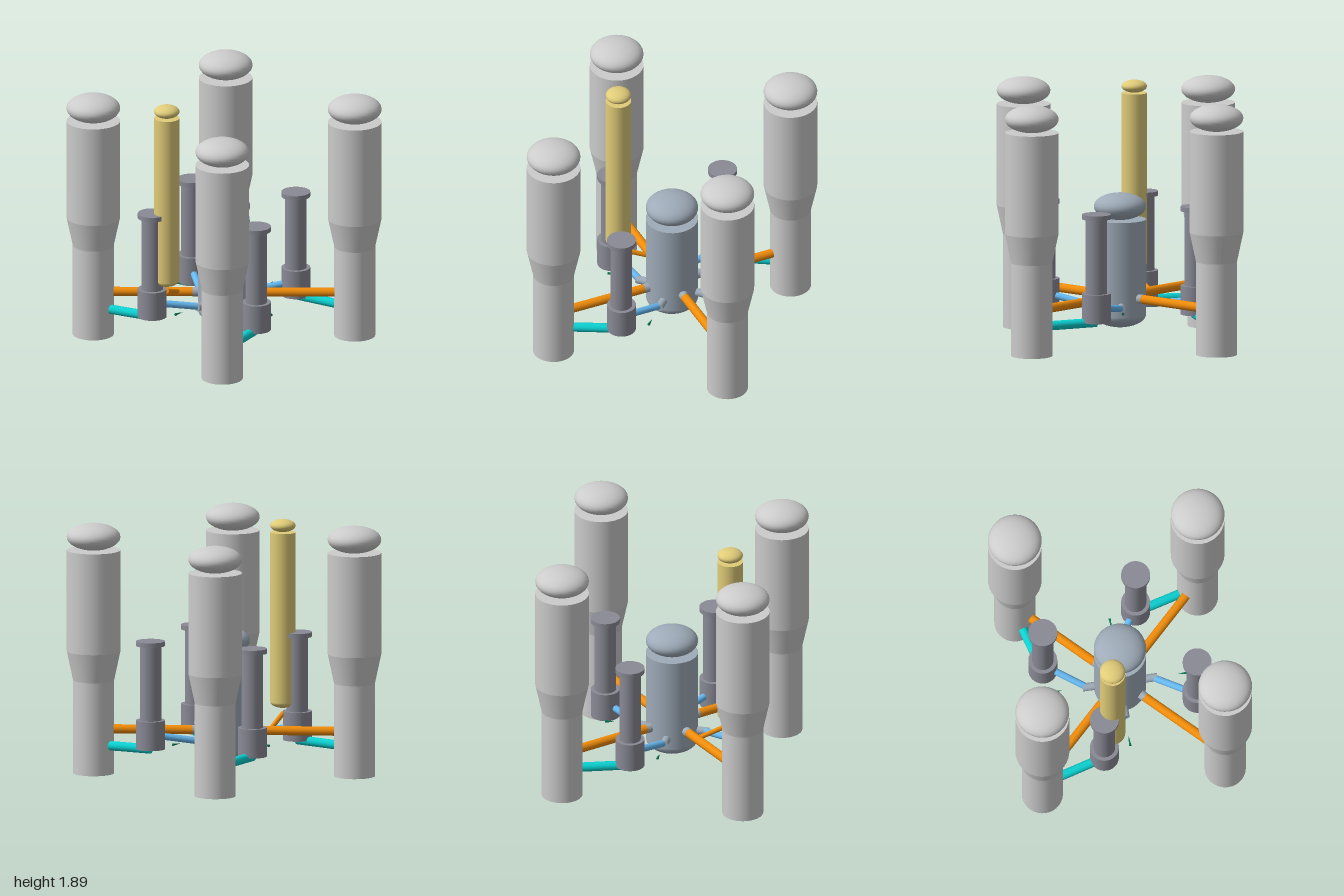
import * as THREE from 'three';

const material = (color) => new THREE.MeshStandardMaterial({ color });
const GREY = material(0xcccccc);
const STEEL = material(0x9eabb8);
const PUMP = material(0x8a8a96);
const HOT = material(0xf08c0a);
const COLD = material(0x66b8f0);
const CROSS = material(0x0cd0d0);
const YELLOW = material(0xe0cc78);
const GREEN = material(0x0a7a55);

function add(parent, name, geometry, mat, x = 0, y = 0, z = 0) {
  const mesh = new THREE.Mesh(geometry, mat);
  mesh.name = name;
  mesh.position.set(x, y, z);
  parent.add(mesh);
  return mesh;
}

// Upright cylinder or cone frustum between two heights
function column(parent, name, mat, rTop, rBottom, y0, y1, x = 0, z = 0) {
  const geometry = new THREE.CylinderGeometry(rTop, rBottom, y1 - y0, 32);
  return add(parent, name, geometry, mat, x, (y0 + y1) / 2, z);
}

// Flattened sphere used for the heads of the vessels
function head(parent, name, mat, r, ry, y, x = 0, z = 0) {
  const geometry = new THREE.SphereGeometry(r, 32, 20).scale(1, ry / r, 1);
  return add(parent, name, geometry, mat, x, y, z);
}

// Straight pipe between two points; a smaller end radius makes a cone
function pipe(parent, name, mat, r, from, to, rEnd = r) {
  const a = new THREE.Vector3(...from);
  const b = new THREE.Vector3(...to);
  const dir = b.clone().sub(a);
  const mesh = add(parent, name, new THREE.CylinderGeometry(rEnd, r, dir.length(), 20), mat);
  mesh.position.copy(a).add(b).multiplyScalar(0.5);
  mesh.quaternion.setFromUnitVectors(new THREE.Vector3(0, 1, 0), dir.normalize());
  return mesh;
}

// One coolant loop: steam generator, pump and the pipes joining them to the vessel
function coolantLoop() {
  const loop = new THREE.Group();
  const s = 0.687;
  const px = 0.55, pz = 0.2;

  const generator = new THREE.Group();
  generator.name = 'steamGenerator';
  generator.position.set(s, 0, s);
  column(generator, 'lowerShell', GREY, 0.153, 0.153, 0, 0.7);
  column(generator, 'shellCone', GREY, 0.2, 0.153, 0.7, 0.92);
  column(generator, 'upperShell', GREY, 0.2, 0.2, 0.92, 1.68);
  head(generator, 'generatorHead', GREY, 0.2, 0.1, 1.78);
  loop.add(generator);

  const pump = new THREE.Group();
  pump.name = 'coolantPump';
  pump.position.set(px, 0, pz);
  column(pump, 'pumpCasing', PUMP, 0.108, 0.108, 0.228, 0.445);
  column(pump, 'pumpMotor', PUMP, 0.08, 0.08, 0.445, 1.005);
  column(pump, 'pumpCap', PUMP, 0.108, 0.108, 1.005, 1.04);
  loop.add(pump);

  pipe(loop, 'hotNozzle', STEEL, 0.035, [0.1, 0.335, 0.1], [0.165, 0.335, 0.165]);
  pipe(loop, 'hotLeg', HOT, 0.034, [0.16, 0.335, 0.16], [s - 0.08, 0.335, s - 0.08]);
  pipe(loop, 'coldNozzle', STEEL, 0.03, [0.15, 0.28, 0], [0.28, 0.28, 0]);
  pipe(loop, 'coldLeg', COLD, 0.026, [0.25, 0.28, 0], [px, 0.335, pz]);
  pipe(loop, 'crossoverLeg', CROSS, 0.035, [s, 0.216, s], [px, 0.227, pz]);
  pipe(loop, 'flowArrow', GREEN, 0.01, [0.507, 0.28, 0], [0.43, 0.28, 0], 0);
  return loop;
}

export function createModel() {
  const model = new THREE.Group();
  model.name = 'reactorCoolantSystem';

  // Central reactor vessel
  const vessel = new THREE.Group();
  vessel.name = 'reactorVessel';
  column(vessel, 'vesselShell', STEEL, 0.195, 0.195, 0.2, 0.915);
  head(vessel, 'vesselBottom', STEEL, 0.195, 0.097, 0.202);
  head(vessel, 'vesselHead', STEEL, 0.195, 0.1, 1.012);
  model.add(vessel);

  // Four identical loops, a quarter turn apart
  for (let i = 0; i < 4; i++) {
    const loop = coolantLoop();
    loop.name = `coolantLoop${i + 1}`;
    loop.rotation.y = (i * Math.PI) / 2;
    model.add(loop);
  }

  // Pressurizer with its surge line to one hot leg
  const pressurizer = new THREE.Group();
  pressurizer.name = 'pressurizer';
  const x = -0.47, z = -0.127;
  column(pressurizer, 'pressurizerShell', YELLOW, 0.095, 0.095, 0.515, 1.79, x, z);
  head(pressurizer, 'pressurizerBottom', YELLOW, 0.095, 0.047, 0.515, x, z);
  head(pressurizer, 'pressurizerHead', YELLOW, 0.095, 0.047, 1.84, x, z);
  pipe(pressurizer, 'surgeLine', HOT, 0.018, [-0.25, 0.34, -0.235], [x, 0.425, z]);
  model.add(pressurizer);

  return model;
}
